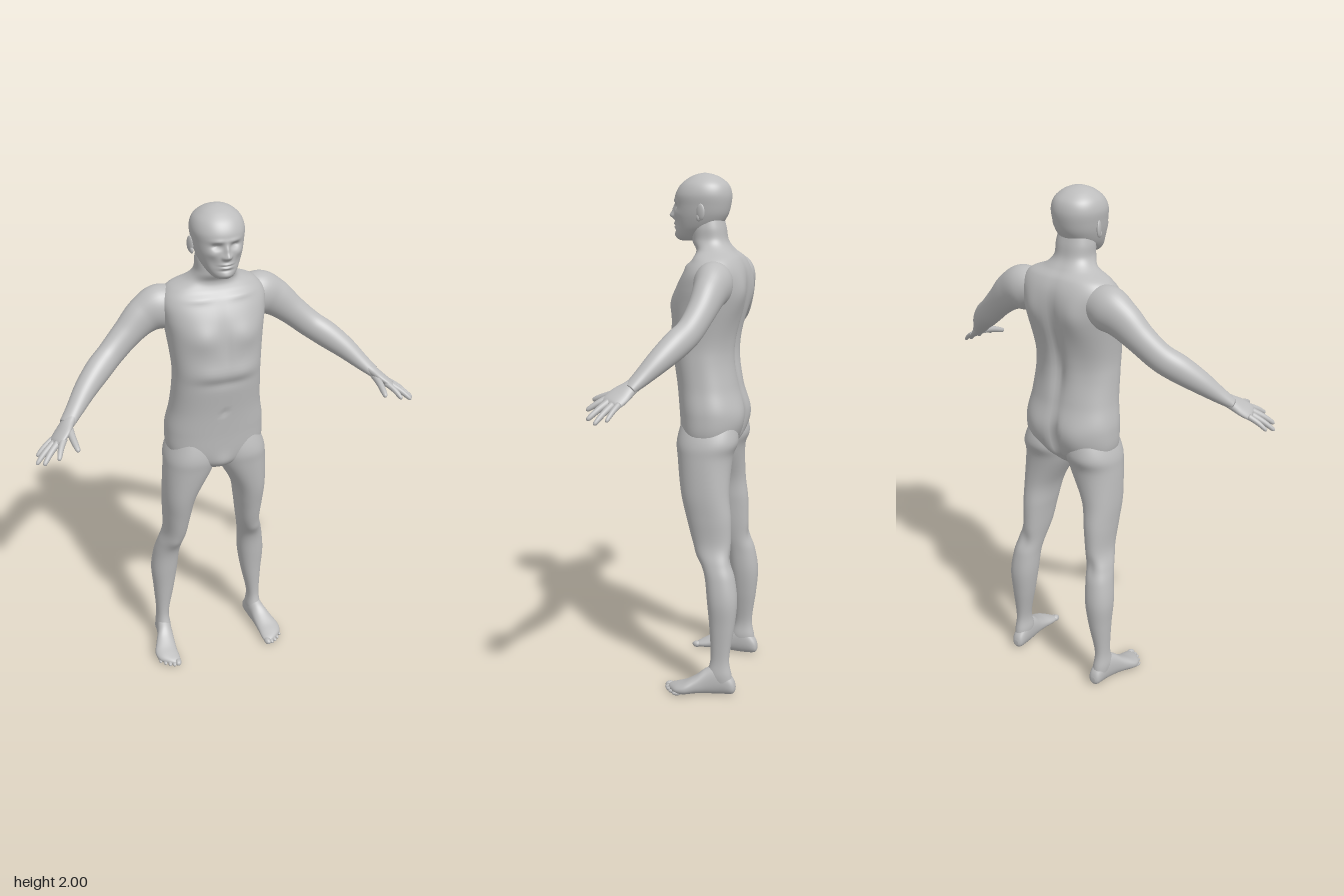
import * as THREE from 'three';
import { mergeVertices } from 'three/addons/utils/BufferGeometryUtils.js';

const skin = new THREE.MeshStandardMaterial({ color: 0xbdbdbd });
skin.name = 'matte grey';

// Smooth interpolation through rows of numbers, t in 0..1
function sample(rows, t) {
  const last = rows.length - 1;
  const i = Math.min(Math.floor(t * last), last - 1);
  const f = t * last - i;
  const p0 = rows[Math.max(i - 1, 0)], p1 = rows[i], p2 = rows[i + 1], p3 = rows[Math.min(i + 2, last)];
  return p1.map((b, k) => {
    const a = p0[k], c = p2[k], d = p3[k];
    return b + 0.5 * f * (c - a + f * (2 * a - 5 * b + 4 * c - d + f * (3 * (b - c) + d - a)));
  });
}

// Make the faces point outwards, whichever way the surface was built or mirrored
function faceOutward(geo) {
  const p = geo.attributes.position, idx = geo.index.array;
  const [a, b, c] = [new THREE.Vector3(), new THREE.Vector3(), new THREE.Vector3()];
  let volume = 0;
  for (let i = 0; i < idx.length; i += 3) {
    a.fromBufferAttribute(p, idx[i]);
    b.fromBufferAttribute(p, idx[i + 1]);
    c.fromBufferAttribute(p, idx[i + 2]);
    volume += a.dot(b.cross(c));
  }
  if (volume < 0) for (let i = 0; i < idx.length; i += 3) [idx[i], idx[i + 1]] = [idx[i + 1], idx[i]];
  geo.computeVertexNormals();
  return geo;
}

// Closed skin over rings: ring(t, angle) gives a Vector3, centre(t) closes the ends
function skinRings(rings, segs, ring, centre) {
  const pos = [], idx = [];
  for (let j = 0; j <= rings; j++)
    for (let i = 0; i < segs; i++) pos.push(...ring(j / rings, (i / segs) * Math.PI * 2).toArray());
  for (let j = 0; j < rings; j++)
    for (let i = 0; i < segs; i++) {
      const a = j * segs + i, b = j * segs + ((i + 1) % segs);
      idx.push(a, b, a + segs, b, b + segs, a + segs);
    }
  const n = pos.length / 3, top = rings * segs;
  pos.push(...centre(0).toArray(), ...centre(1).toArray());
  for (let i = 0; i < segs; i++) {
    const k = (i + 1) % segs;
    idx.push(n, k, i, n + 1, top + i, top + k);
  }
  const geo = new THREE.BufferGeometry();
  geo.setAttribute('position', new THREE.Float32BufferAttribute(pos, 3));
  geo.setIndex(idx);
  return faceOutward(geo);
}

// Rows: [height, x min, x max, front, back]; bumps: [x, y, side, width, height, depth], mirrored in x
function loft(rows, { rings = 64, segs = 48, power = 2.2, bumps = [], alongZ = false } = {}) {
  const place = (h, x, d) => (alongZ ? new THREE.Vector3(x, d, h) : new THREE.Vector3(x, h, d));
  const round = (v) => Math.sign(v) * Math.abs(v) ** (2 / power);
  return skinRings(rings, segs, (t, angle) => {
    const [h, x0, x1, f, b] = sample(rows, t);
    const s = round(Math.sin(angle));
    const x = (x0 + x1) / 2 + ((x1 - x0) / 2) * round(Math.cos(angle));
    let d = (f + b) / 2 + ((f - b) / 2) * s;
    for (const [bx, by, side, w, tall, depth] of bumps) {
      const weight = Math.min(1, Math.max(0, s * side * 2.5));
      for (const cx of bx ? [bx, -bx] : [0])
        d += side * depth * weight * Math.exp(-(((x - cx) / w) ** 2) - ((h - by) / tall) ** 2);
    }
    return place(h, x, d);
  }, (t) => {
    const [h, x0, x1, f, b] = sample(rows, t);
    return place(h, (x0 + x1) / 2, (f + b) / 2);
  });
}

// Rows: [x, y, z, thickness radius, width radius] along a limb
function limb(rows, { up = [0, 1, 0], rings = 40, segs = 28 } = {}) {
  const at = (t) => new THREE.Vector3(...sample(rows, t).slice(0, 3));
  return skinRings(rings, segs, (t, angle) => {
    const tangent = at(Math.min(t + 0.01, 1)).sub(at(Math.max(t - 0.01, 0))).normalize();
    const u = new THREE.Vector3(...up).addScaledVector(tangent, -tangent.dot(new THREE.Vector3(...up))).normalize();
    const w = tangent.clone().cross(u);
    const row = sample(rows, t);
    return at(t).addScaledVector(u, row[3] * Math.cos(angle)).addScaledVector(w, row[4] * Math.sin(angle));
  }, at);
}

function ball(x, y, z, rx, ry, rz, turn = 0) {
  const geo = new THREE.SphereGeometry(1, 24, 16).scale(rx, ry, rz).rotateY(turn).translate(x, y, z);
  geo.deleteAttribute('uv');
  geo.deleteAttribute('normal');
  return faceOutward(mergeVertices(geo));
}

export function createModel() {
  const figure = new THREE.Group();
  figure.name = 'standingFigure';
  const add = (name, geo) => {
    const mesh = new THREE.Mesh(geo, skin);
    mesh.name = name;
    figure.add(mesh);
  };
  const addPair = (name, geo) => {
    add('left' + name, geo);
    add('right' + name, faceOutward(geo.clone().scale(-1, 1, 1)));
  };

  // Torso and neck, with chest, shoulder blades, spine and seat
  const torso = [
    [0.915, 0.03, -0.02, -0.1], [0.95, 0.1, 0.025, -0.14], [1.0, 0.185, 0.042, -0.18], [1.1, 0.197, 0.05, -0.198],
    [1.2, 0.181, 0.06, -0.178], [1.3, 0.173, 0.075, -0.16], [1.38, 0.172, 0.086, -0.165], [1.5, 0.185, 0.076, -0.195],
    [1.58, 0.198, 0.06, -0.205], [1.64, 0.2, 0.032, -0.2], [1.685, 0.17, 0.0, -0.18], [1.715, 0.105, -0.008, -0.15],
    [1.75, 0.077, 0.01, -0.125], [1.8, 0.073, 0.01, -0.115], [1.86, 0.06, 0, -0.1],
  ].map(([y, w, f, b]) => [y, -w, w, f, b]);
  add('torso', loft(torso, {
    rings: 110, segs: 96, power: 2.35,
    bumps: [
      [0.085, 1.52, 1, 0.06, 0.05, 0.014], [0, 1.5, 1, 0.014, 0.1, -0.006], [0.06, 1.38, 1, 0.06, 0.03, 0.007],
      [0, 1.335, 1, 0.1, 0.02, -0.006], [0, 1.2, 1, 0.012, 0.012, -0.008], [0.08, 1.66, 1, 0.06, 0.012, 0.006],
      [0, 1.4, -1, 0.022, 0.2, -0.016], [0.1, 1.56, -1, 0.05, 0.07, 0.014], [0.06, 1.32, -1, 0.04, 0.1, 0.006],
      [0.09, 1.07, -1, 0.065, 0.07, 0.012], [0, 1.03, -1, 0.016, 0.09, -0.03], [0, 0.97, 1, 0.035, 0.035, 0.01],
    ],
  }));

  // Head with a modelled face
  const head = [
    [1.748, 0.02, 0.055, 0.0], [1.754, 0.036, 0.07, -0.02], [1.77, 0.052, 0.078, -0.04], [1.8, 0.071, 0.08, -0.09],
    [1.84, 0.086, 0.081, -0.12], [1.88, 0.094, 0.08, -0.133], [1.92, 0.098, 0.077, -0.137], [1.955, 0.087, 0.058, -0.126],
    [1.98, 0.062, 0.028, -0.098], [1.994, 0.034, -0.002, -0.067], [2.0, 0.004, -0.03, -0.038],
  ].map(([y, w, f, b]) => [y, -w, w, f, b]);
  add('head', loft(head, {
    rings: 120, segs: 128, power: 2.15,
    bumps: [
      [0, 1.842, 1, 0.011, 0.013, 0.02], [0, 1.866, 1, 0.009, 0.02, 0.012], [0.012, 1.838, 1, 0.007, 0.008, 0.008],
      [0.034, 1.877, 1, 0.018, 0.011, -0.014], [0.03, 1.897, 1, 0.025, 0.008, 0.004], [0.052, 1.85, 1, 0.018, 0.015, 0.005],
      [0, 1.811, 1, 0.02, 0.005, 0.007], [0, 1.805, 1, 0.022, 0.0025, -0.005], [0, 1.798, 1, 0.018, 0.005, 0.006],
      [0, 1.787, 1, 0.025, 0.005, -0.004], [0, 1.768, 1, 0.02, 0.01, 0.005], [0.045, 1.815, 1, 0.015, 0.02, -0.004],
    ],
  }));
  addPair('Eye', ball(0.034, 1.878, 0.05, 0.015, 0.008, 0.011));
  addPair('Ear', ball(0.097, 1.858, -0.042, 0.007, 0.031, 0.018, -0.35));
  addPair('EarLobe', ball(0.094, 1.838, -0.034, 0.007, 0.014, 0.01));

  // Legs: hip, thigh, knee, calf and ankle
  addPair('Leg', loft([
    [1.1, 0.03, 0.16, 0.02, -0.17], [1.0, 0.004, 0.202, 0.045, -0.192], [0.93, 0.012, 0.21, 0.04, -0.172],
    [0.8, 0.078, 0.214, 0.02, -0.168], [0.7, 0.1, 0.21, -0.004, -0.178], [0.6, 0.115, 0.207, -0.032, -0.18],
    [0.53, 0.127, 0.226, -0.066, -0.186], [0.47, 0.135, 0.24, -0.086, -0.202], [0.38, 0.142, 0.25, -0.097, -0.214],
    [0.28, 0.158, 0.243, -0.107, -0.206], [0.15, 0.184, 0.236, -0.115, -0.188], [0.08, 0.18, 0.241, -0.1, -0.198],
    [0.03, 0.186, 0.234, -0.11, -0.204],
  ], {
    rings: 90, bumps: [[0.172, 0.55, 1, 0.028, 0.03, 0.008], [0.17, 0.54, -1, 0.025, 0.04, -0.008]],
  }));

  // Feet turned slightly out, with toes stepping back to the small one
  addPair('Foot', loft([
    [-0.213, 0.197, 0.218, 0.04, 0.018], [-0.2, 0.183, 0.232, 0.07, 0.004], [-0.15, 0.18, 0.24, 0.12, 0],
    [-0.1, 0.184, 0.252, 0.105, 0], [-0.06, 0.187, 0.27, 0.075, 0.002], [-0.02, 0.19, 0.285, 0.052, 0],
    [0.015, 0.19, 0.277, 0.038, 0], [0.04, 0.193, 0.25, 0.028, 0.002], [0.055, 0.2, 0.225, 0.02, 0.006],
  ], { alongZ: true, rings: 48 }));
  for (let i = 0; i < 5; i++) {
    const r = i === 0 ? 0.0135 : 0.0105 - i * 0.0006;
    addPair('Toe' + (i + 1), ball(0.206 + i * 0.0165, r, 0.052 - i * i * 0.0028, r, r, 0.019, 0.2));
  }

  // Arms held out, down and forward
  addPair('Arm', limb([
    [0.1, 1.61, -0.11, 0.05, 0.055], [0.19, 1.602, -0.115, 0.085, 0.072], [0.26, 1.572, -0.115, 0.073, 0.06],
    [0.33, 1.515, -0.103, 0.058, 0.051], [0.4, 1.455, -0.08, 0.053, 0.046], [0.46, 1.413, -0.045, 0.052, 0.047],
    [0.52, 1.366, -0.003, 0.043, 0.042], [0.575, 1.315, 0.042, 0.03, 0.034], [0.615, 1.28, 0.075, 0.02, 0.03],
  ], { rings: 70, segs: 40 }));

  // Hands: flat palm, four spread fingers and a thumb
  const up = [0.6, 0.8, 0];
  addPair('Palm', limb([
    [0.59, 1.3, 0.055, 0.02, 0.028], [0.612, 1.283, 0.075, 0.02, 0.032], [0.638, 1.262, 0.1, 0.018, 0.042],
    [0.664, 1.243, 0.12, 0.014, 0.041], [0.675, 1.235, 0.127, 0.006, 0.03],
  ], { up }));
  const fingers = {
    IndexFinger: [[0.642, 1.254, 0.138], [0.678, 1.212, 0.208], 0.0105],
    MiddleFinger: [[0.662, 1.243, 0.133], [0.73, 1.19, 0.188], 0.0108],
    RingFinger: [[0.674, 1.236, 0.115], [0.751, 1.18, 0.156], 0.0102],
    LittleFinger: [[0.675, 1.237, 0.093], [0.741, 1.19, 0.116], 0.009],
    Thumb: [[0.612, 1.272, 0.09], [0.606, 1.235, 0.21], 0.0125],
  };
  for (const [name, [from, to, r]] of Object.entries(fingers)) {
    const rows = [[0, 1.25], [0.3, 1.1], [0.55, 1], [0.8, 0.88], [0.95, 0.65], [1, 0.15]].map(([t, k]) => {
      const sag = 0.004 * Math.sin(Math.PI * t);
      const p = from.map((v, i) => v + (to[i] - v) * t + up[i] * sag);
      return [...p, r * k, r * k];
    });
    addPair(name, limb(rows, { up, rings: 20, segs: 16 }));
  }
  return figure;
}
